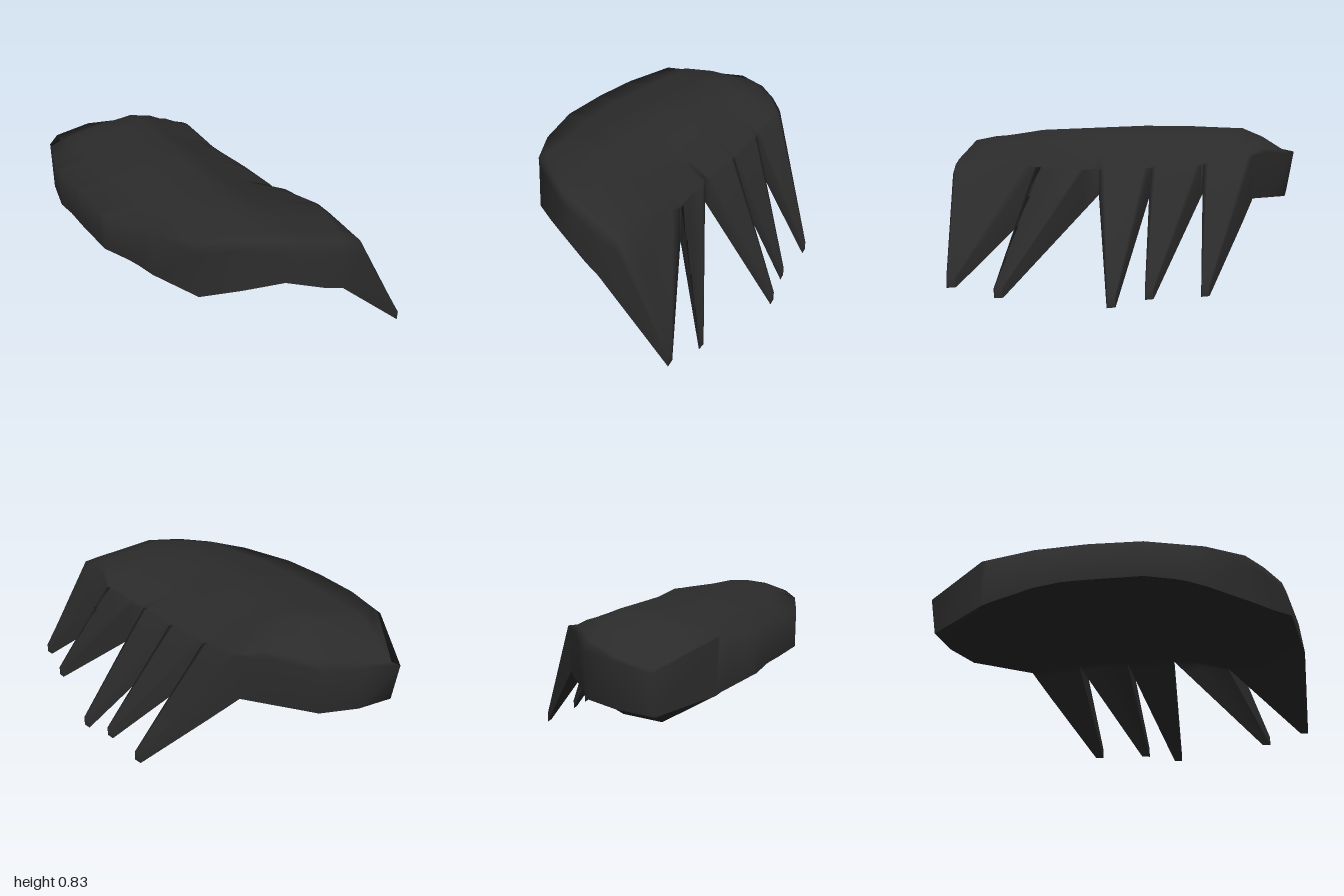
import * as THREE from 'three';
import { mergeVertices } from 'three/addons/utils/BufferGeometryUtils.js';

const { lerp, clamp } = THREE.MathUtils;
const mix = (a, b, t) => [lerp(a[0], b[0], t), lerp(a[1], b[1], t)];

// piecewise-linear profile through [position, value] points
function profile(points, x) {
  if (x <= points[0][0]) return points[0][1];
  for (let i = 1; i < points.length; i++) {
    const [a, b] = [points[i - 1], points[i]];
    if (x <= b[0]) return lerp(a[1], b[1], (x - a[0]) / (b[0] - a[0]));
  }
  return points[points.length - 1][1];
}

// heights of the cap's upper and lower skin
const topX = [[-0.72, 0.73], [-0.14, 0.83], [0.35, 0.735], [0.5, 0.68]];
const topZ = [[-1, -0.15], [-0.93, -0.16], [-0.68, -0.01], [-0.07, 0], [0.52, -0.02], [0.94, -0.06]];
const shoulderZ = [[-0.64, -0.07], [-0.35, -0.11], [-0.06, -0.11], [0.22, -0.1], [0.54, -0.04], [0.7, 0]];
const lowX = [[-0.72, 0.47], [-0.3, 0.48], [-0.1, 0.52], [0.2, 0.46], [0.4, 0.43]];
const lowZ = [[-1, -0.07], [-0.93, -0.11], [-0.64, -0.01], [-0.2, 0.05], [0.4, 0.05], [0.75, -0.02], [0.94, 0.035], [0.985, 0]];
const topAt = ([x, z]) => profile(topX, x) + profile(topZ, z)
  + profile(shoulderZ, z) * clamp((x + 0.14) / 0.4, 0, 1);
const lowAt = ([x, z]) => profile(lowX, x) + profile(lowZ, z);

const BODY = 6, SPIKE = 5, SHOULDER = 0.35;
const STEPS = [0, 0.1, 0.3, 0.5, 0.7, 0.9, 1]; // positions across one band
const ACROSS = STEPS.length - 1;

// straight row from the left rim over the crest to a notch between spikes
function row(left, notch) {
  const crest = [-0.14, lerp(left[1], notch[1], 0.6)];
  return Array.from({ length: BODY + 1 }, (_, i) =>
    i <= 3 ? mix(left, crest, i / 3) : mix(crest, notch, (i - 3) / 3));
}

// rows from back to front; the first and last follow the outline
const rows = [
  [[-0.66, -0.66], [-0.51, -1], [-0.3, -1], [-0.1, -0.93], [0, -0.833], [0.1, -0.737], [0.2, -0.64]],
  row([-0.72, -0.35], [0.23, -0.35]),
  row([-0.71, -0.06], [0.27, -0.06]),
  row([-0.69, 0.22], [0.29, 0.22]),
  row([-0.56, 0.52], [0.375, 0.54]),
  [[-0.56, 0.52], [-0.42, 0.74], [-0.24, 0.84], [-0.06, 0.94], [0.04, 0.96], [0.14, 0.98], [0.24, 1]],
];

// spike tips: back corner, front corner, lowest height, whether it has a shoulder
const tips = [
  [[0.62, -0.33], [0.63, -0.285], 0.02, false],
  [[0.65, -0.04], [0.66, 0.005], 0.02, false],
  [[0.71, 0.155], [0.72, 0.2], 0, false],
  [[0.65, 0.71], [0.655, 0.755], 0.045, true],
  [[0.635, 0.94], [0.645, 0.985], 0.1, true],
];

// upper and lower point of one band at row step i, fraction s across
function point(band, i, s) {
  const root = mix(rows[band][Math.min(i, BODY)], rows[band + 1][Math.min(i, BODY)], s);
  let p = root, top = topAt(p), low = lowAt(p), fade = 1;
  if (i > BODY) {
    // spike: level out to the shoulder if any, then straight down to the tip
    const [ta, tb, y, shoulder] = tips[band];
    const tip = mix(ta, tb, s);
    const v0 = shoulder ? Math.max(0.05, (SHOULDER - root[0]) / (tip[0] - root[0])) : 0.05;
    const t = (i - BODY - 1) / (SPIKE - 1), v = lerp(v0, 1, t);
    p = mix(root, tip, v);
    top = lerp(topAt(mix(root, tip, v0)), y + 0.05, t);
    low = lerp(low, y, v);
    fade = 1 - t;
  }
  // bevel along the front rim, tuck under the back rim
  const bevel = band === tips.length - 1 && s === 1 && i > 0 ? fade : 0;
  const tuck = 0.04 * clamp((-p[1] - 0.6) / 0.4, 0, 1);
  return {
    top: [p[0], top - 0.05 * bevel, p[1] - 0.02 * bevel],
    low: [p[0], low, p[1] + tuck],
  };
}

function smooth(positions) {
  let g = new THREE.BufferGeometry();
  g.setAttribute('position', new THREE.Float32BufferAttribute(positions, 3));
  g = mergeVertices(g, 1e-4);
  g.computeVertexNormals();
  return g;
}

export function createModel() {
  const group = new THREE.Group();
  group.name = 'spikedFringe';
  const charcoal = new THREE.MeshStandardMaterial({ color: 0x2b2b2b });
  charcoal.name = 'charcoal';

  const upper = [], under = [];
  const quad = (out, a, b, c, d) => out.push(...a, ...b, ...c, ...a, ...c, ...d);
  const wall = (a, b) => quad(upper, a.top, b.top, b.low, a.low);
  const last = BODY + SPIKE;

  for (let band = 0; band < tips.length; band++) {
    const grid = Array.from({ length: last + 1 }, (_, i) => STEPS.map((s) => point(band, i, s)));

    // upper and lower skins
    for (let i = 0; i < last; i++) {
      for (let s = 0; s < ACROSS; s++) {
        const a = grid[i][s], b = grid[i][s + 1], c = grid[i + 1][s + 1], d = grid[i + 1][s];
        quad(upper, a.top, b.top, c.top, d.top);
        quad(under, a.low, d.low, c.low, b.low);
      }
      // side walls of the spikes and of the outer rows
      if (i >= BODY || band === 0) wall(grid[i][0], grid[i + 1][0]);
      if (i >= BODY || band === tips.length - 1) wall(grid[i + 1][ACROSS], grid[i][ACROSS]);
    }
    // left rim and blunt tip
    for (let s = 0; s < ACROSS; s++) {
      wall(grid[0][s + 1], grid[0][s]);
      wall(grid[last][s], grid[last][s + 1]);
    }
  }

  for (const [name, positions] of [['upperShellAndRim', upper], ['underside', under]]) {
    const mesh = new THREE.Mesh(smooth(positions), charcoal);
    mesh.name = name;
    group.add(mesh);
  }
  return group;
}
